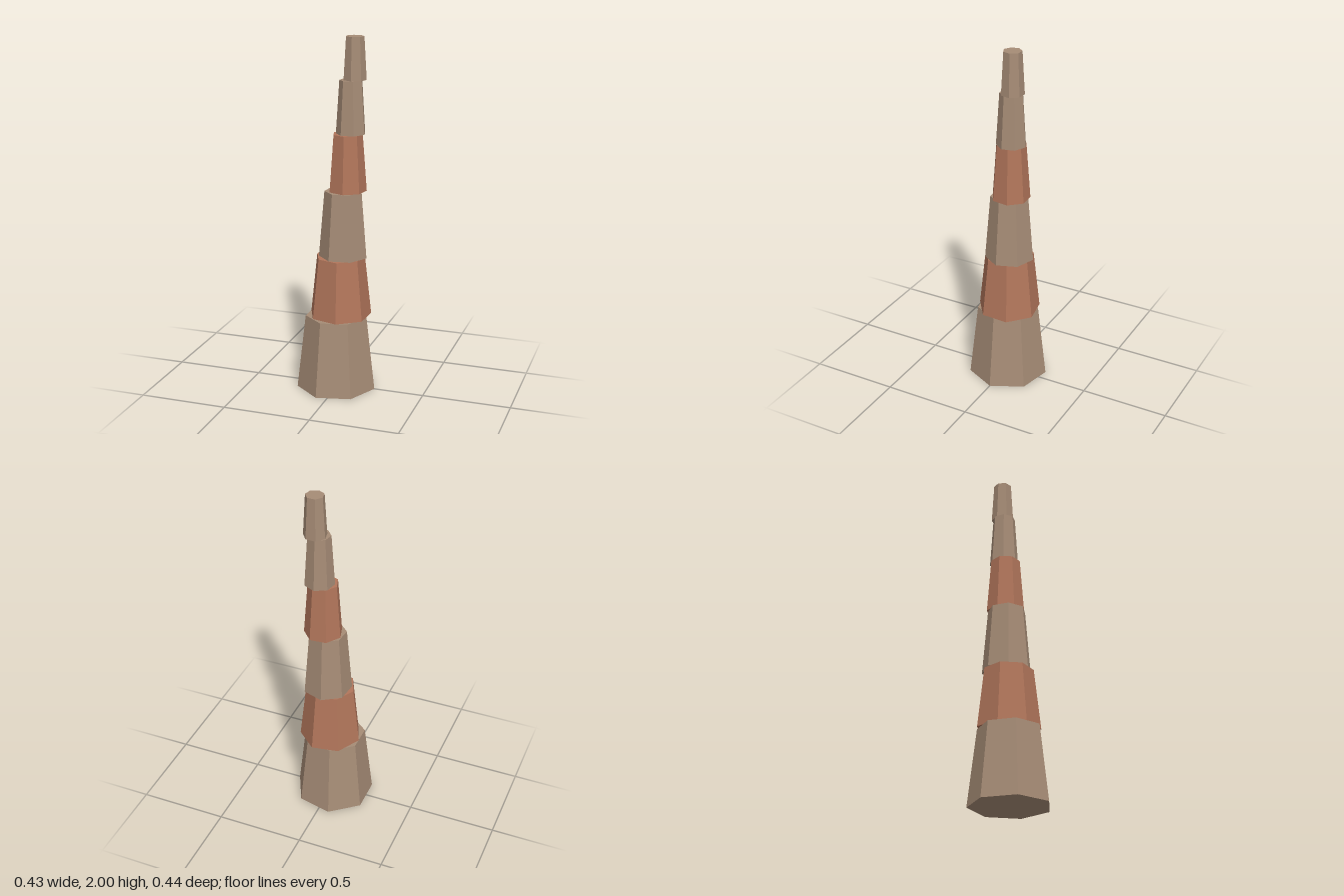
import * as THREE from 'three';

export function createModel() {
  const group = new THREE.Group();
  const stone = new THREE.MeshStandardMaterial({ name: 'stone', color: 0xa68c76, flatShading: true });
  const clay = new THREE.MeshStandardMaterial({ name: 'clay', color: 0xb2765b, flatShading: true });

  const SIDES = 7;
  const levels = [0, 0.43, 0.775, 1.15, 1.47, 1.765, 2]; // joint heights
  const radii = [0.227, 0.177, 0.139, 0.1075, 0.0835, 0.0645, 0.051]; // each section tapers to the next
  const colours = [stone, clay, stone, clay, stone, stone];

  // Stacked tapering sections, each shifted sideways and twisted against the one below
  colours.forEach((material, i) => {
    const height = levels[i + 1] - levels[i];
    const section = new THREE.Mesh(
      new THREE.CylinderGeometry(radii[i + 1], radii[i], height, SIDES),
      material
    );
    section.name = `towerSection${i + 1}`;
    section.position.set(-0.0125 + 0.0162 * i, levels[i] + height / 2, -0.0135 * i);
    section.rotation.y = Math.PI / 2 - 0.5 * i;
    group.add(section);
  });

  return group;
}
